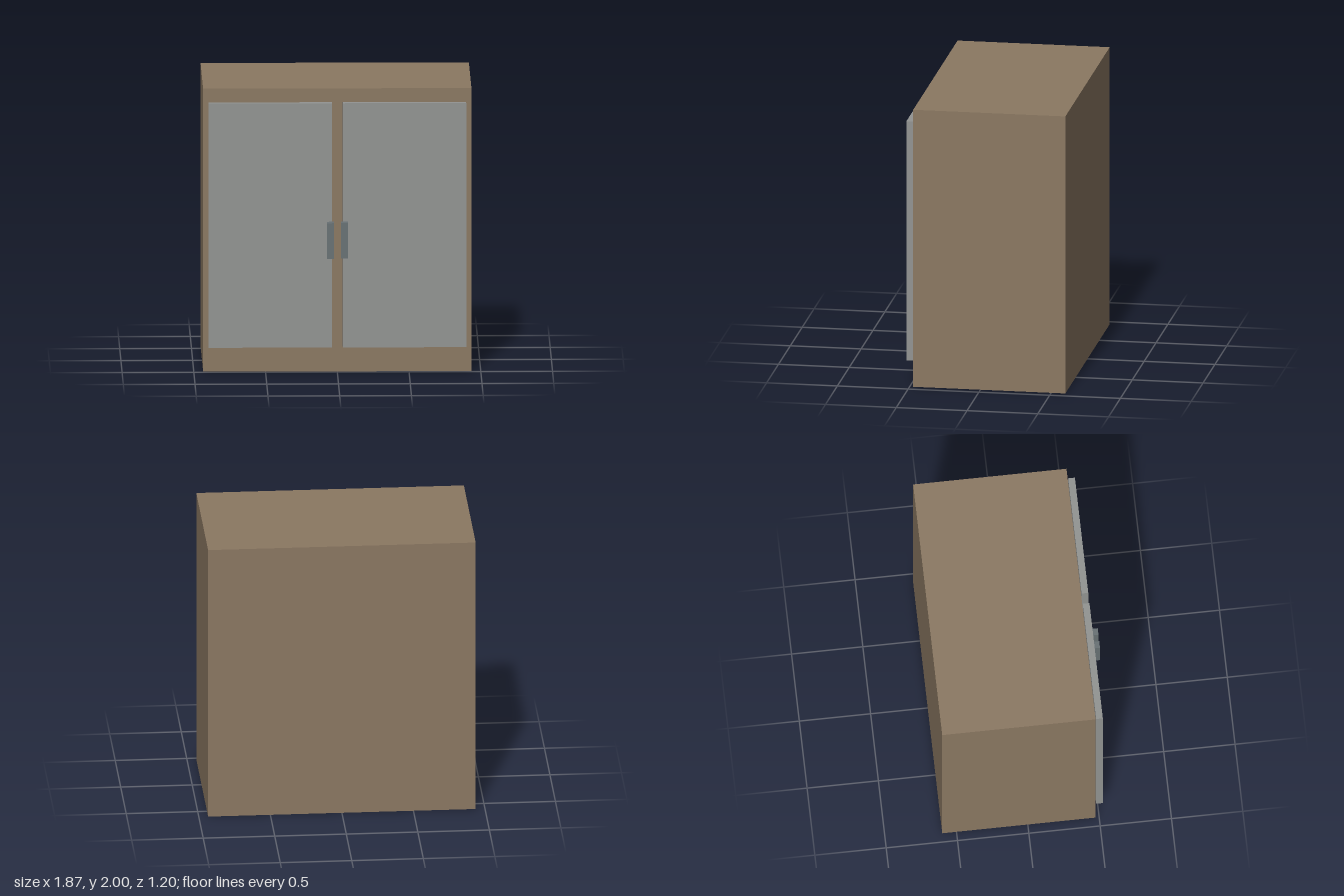
import * as THREE from 'three';

const material = (color) => new THREE.MeshStandardMaterial({ color });

// Box given by its [min, max] extent on each axis
function box(name, [x0, x1], [y0, y1], [z0, z1], mat) {
  const mesh = new THREE.Mesh(new THREE.BoxGeometry(x1 - x0, y1 - y0, z1 - z0), mat);
  mesh.position.set((x0 + x1) / 2, (y0 + y1) / 2, (z0 + z1) / 2);
  mesh.name = name;
  return mesh;
}

export function createModel() {
  const group = new THREE.Group();
  group.name = 'cabinet';
  const wood = material(0x8b7862);
  const panel = material(0x929492);
  const metal = material(0x687174);

  // Solid cabinet body
  group.add(box('body', [-0.935, 0.935], [0, 2], [-0.6, 0.475], wood));

  // Mirrored doors and handles, each set slightly proud of the part behind
  for (const [side, s] of [['left', 1], ['right', -1]]) {
    const span = (inner, outer) => (s > 0 ? [inner, outer] : [-outer, -inner]);
    group.add(box(`${side}Door`, span(0.038, 0.898), [0.178, 1.904], [0.483, 0.53], panel));
    group.add(box(`${side}Handle`, span(0.024, 0.073), [0.817, 1.068], [0.537, 0.6], metal));
  }
  return group;
}
